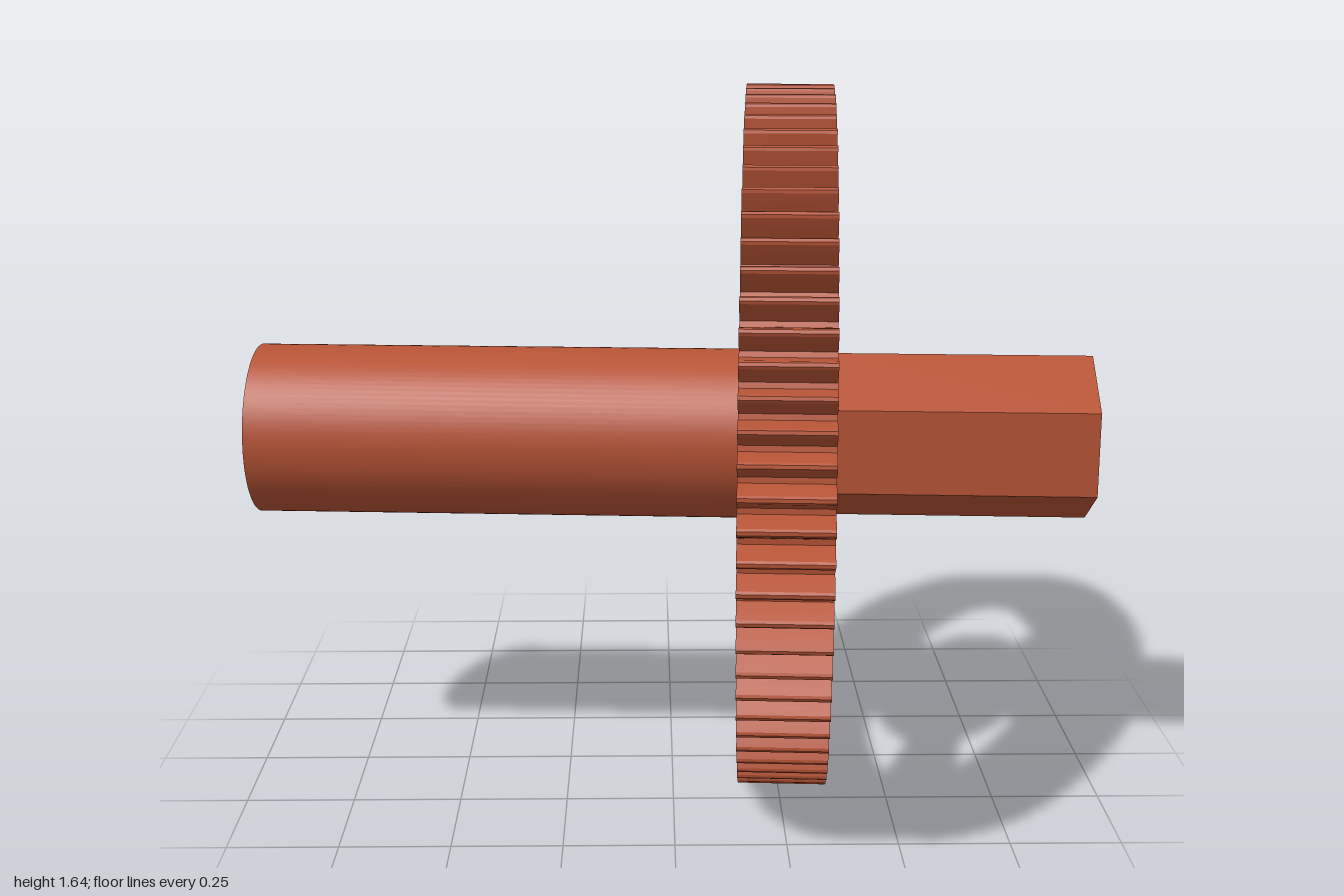
import * as THREE from 'three';
import { toCreasedNormals } from 'three/addons/utils/BufferGeometryUtils.js';

const R_TIP = 0.82, R_ROOT = 0.768, R_RECESS = 0.612, TEETH = 76;
const GEAR_MID = 0.27, GEAR_W = 0.2;

const polar = (r, a) => new THREE.Vector2(r * Math.cos(a), r * Math.sin(a));

// Toothed outline with the round recess cut out
function rimShape() {
  const pts = [], pitch = (2 * Math.PI) / TEETH;
  const tooth = [[R_ROOT, -0.4], [0.795, -0.25], [0.815, -0.13], [R_TIP, -0.06],
    [R_TIP, 0.06], [0.815, 0.13], [0.795, 0.25], [R_ROOT, 0.4]];
  for (let i = 0; i < TEETH; i++) {
    for (const [r, f] of tooth) pts.push(polar(r, Math.PI / 2 + (i + f) * pitch));
  }
  const shape = new THREE.Shape(pts);
  shape.holes.push(new THREE.Path().absarc(0, 0, R_RECESS, 0, 2 * Math.PI, true));
  return shape;
}

// Window between two spokes: ring sector with rounded corners
function windowPath(mid) {
  const a = 0.338, b = 0.547, h = THREE.MathUtils.degToRad(46.5), f = 0.035;
  const p = new THREE.Path();
  const line = (r, t) => { const q = polar(r, t); p.lineTo(q.x, q.y); };
  const corner = (r, t, r2, t2) => {
    const c = polar(r, t), e = polar(r2, t2);
    p.quadraticCurveTo(c.x, c.y, e.x, e.y);
  };
  const lo = mid - h, hi = mid + h;
  const start = polar(b, lo + f / b);
  p.moveTo(start.x, start.y);
  p.absarc(0, 0, b, lo + f / b, hi - f / b, false);
  corner(b, hi, b - f, hi);
  line(a + f, hi);
  corner(a, hi, a, hi - f / a);
  p.absarc(0, 0, a, hi - f / a, lo + f / a, true);
  corner(a, lo, a + f, lo);
  line(b - f, lo);
  corner(b, lo, b, lo + f / b);
  return p;
}

function webShape() {
  const shape = new THREE.Shape().absarc(0, 0, R_RECESS + 0.02, 0, 2 * Math.PI, false);
  for (const deg of [28, 148, 268]) shape.holes.push(windowPath(THREE.MathUtils.degToRad(deg)));
  return shape;
}

export function createModel() {
  const color = 0xb85436;
  const smooth = new THREE.MeshStandardMaterial({ color });
  const flat = new THREE.MeshStandardMaterial({ color, flatShading: true });
  const model = new THREE.Group();

  const add = (name, geometry, material, parent) => {
    const mesh = new THREE.Mesh(geometry, material);
    mesh.name = name;
    parent.add(mesh);
    return mesh;
  };

  // Everything sits on one axle along x, turned slightly about the vertical
  const axle = new THREE.Group();
  axle.name = 'axle';
  axle.position.set(0, 0.82, -0.022);
  axle.rotation.y = -0.0645;
  model.add(axle);

  const rod = (name, radius, from, to, sides, material) => {
    const g = new THREE.CylinderGeometry(radius, radius, to - from, sides);
    if (sides === 6) g.rotateY(Math.PI / 6);
    g.rotateZ(-Math.PI / 2).translate((from + to) / 2, 0, 0);
    return add(name, g, material, axle);
  };
  rod('roundShaft', 0.201, -0.985, 0.17, 96, smooth);
  rod('hexShaft', 0.197, 0.37, 0.985, 6, flat);
  rod('core', 0.12, 0.16, 0.38, 48, smooth);

  // Gear: extruded along z, then turned onto the axle
  const gear = new THREE.Group();
  gear.name = 'gear';
  gear.position.x = GEAR_MID;
  gear.rotation.y = Math.PI / 2;
  axle.add(gear);

  const rim = new THREE.ExtrudeGeometry(rimShape(), {
    depth: GEAR_W, bevelEnabled: false, curveSegments: 96 });
  rim.translate(0, 0, -GEAR_W / 2);
  add('toothedRim', toCreasedNormals(rim, 0.3), smooth, gear);

  // Thin recessed web with rounded window edges
  const bevel = 0.014, webW = 0.06;
  const web = new THREE.ExtrudeGeometry(webShape(), {
    depth: webW - 2 * bevel, curveSegments: 48, bevelEnabled: true,
    bevelSize: bevel, bevelThickness: bevel, bevelOffset: -bevel, bevelSegments: 3 });
  web.translate(0, 0, -webW / 2 + bevel);
  add('spokedWeb', toCreasedNormals(web, 0.6), smooth, gear);

  // Concave fillets where the web meets the rim, on both faces
  for (const side of [1, -1]) {
    const profile = [];
    for (let i = 0; i <= 5; i++) {
      const t = (i / 5) * (Math.PI / 2), r = 0.015;
      profile.push(new THREE.Vector2(
        R_RECESS - r + r * Math.sin(t), webW / 2 + r - r * Math.cos(t)));
    }
    const fillet = new THREE.LatheGeometry(profile, 96);
    fillet.rotateX(side * Math.PI / 2);
    add('recessFillet', fillet, new THREE.MeshStandardMaterial({ color, side: THREE.DoubleSide }), gear);
  }
  return model;
}
